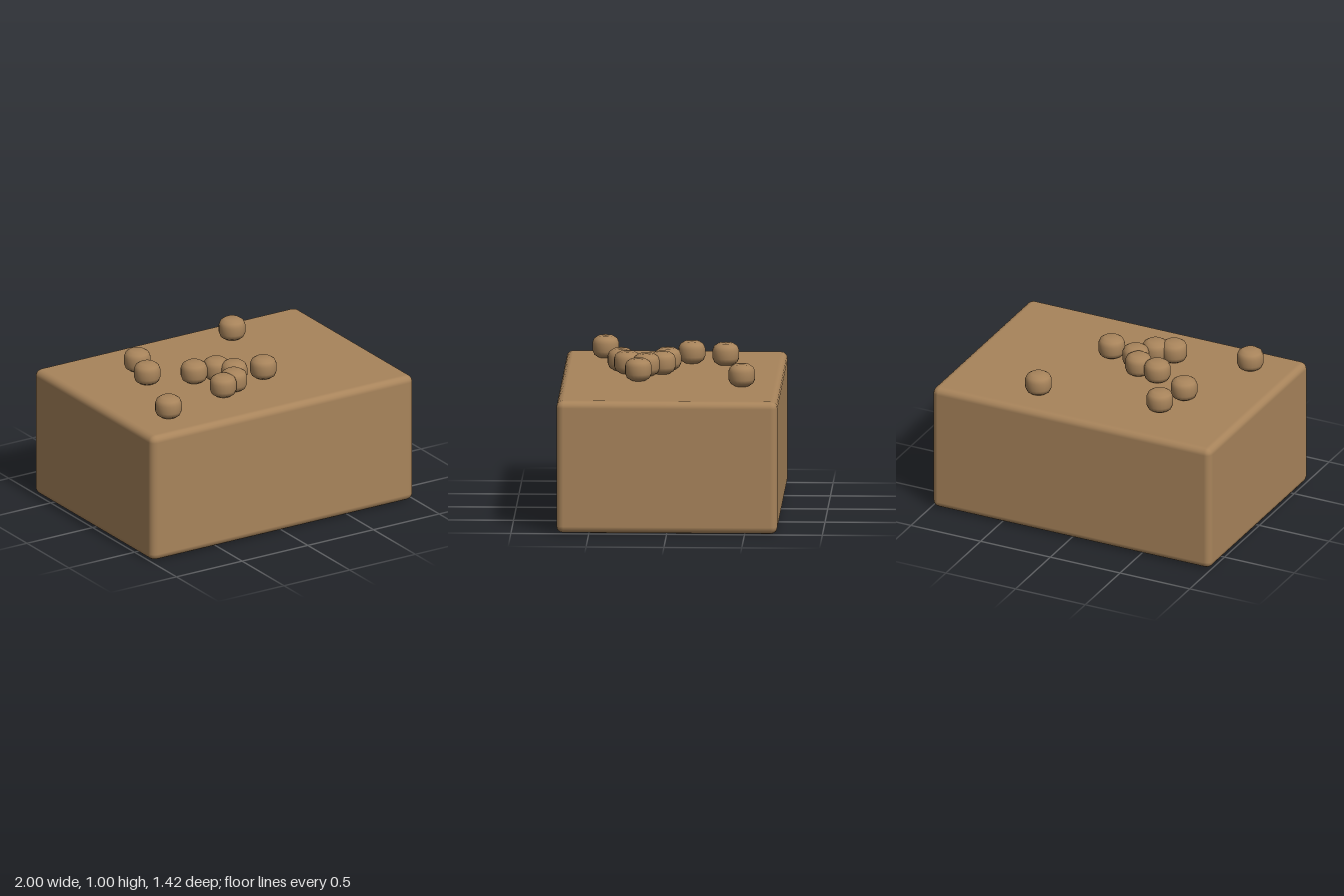
import * as THREE from 'three';
import { RoundedBoxGeometry } from 'three/addons/geometries/RoundedBoxGeometry.js';

const BODY = { width: 2, height: 0.86, depth: 1.42, bevel: 0.045 };
const KNOB = { radius: 0.086, height: 0.14 };

// x, z centres of the knobs scattered on the top
const KNOB_SPOTS = [
  [0.355, -0.46], [-0.45, -0.33], [-0.515, -0.11], [-0.25, 0.035], [-0.1, 0.065],
  [-0.03, 0.165], [0.165, 0.21], [-0.11, 0.29], [-0.22, 0.335], [-0.71, 0.45],
];

// Short drum with softly rounded rims, standing on y = 0
function knobGeometry() {
  const { radius: r, height: h } = KNOB;
  const profile = [
    [0, 0], [r * 0.55, 0], [r * 0.87, 0.018], [r, 0.045],
    [r, h - 0.045], [r * 0.87, h - 0.018], [r * 0.55, h], [0, h],
  ].map(([x, y]) => new THREE.Vector2(x, y));
  return new THREE.LatheGeometry(profile, 20);
}

export function createModel() {
  const model = new THREE.Group();
  model.name = 'blockWithKnobs';
  const brown = new THREE.MeshStandardMaterial({ color: 0xa8845b });
  brown.name = 'brown';

  // Block with narrow rounded edges
  const body = new THREE.Mesh(
    new RoundedBoxGeometry(BODY.width, BODY.height, BODY.depth, 2, BODY.bevel), brown);
  body.name = 'body';
  body.position.y = BODY.height / 2;
  model.add(body);

  // Knobs on the top face
  const knobs = new THREE.Group();
  knobs.name = 'knobs';
  const geometry = knobGeometry();
  KNOB_SPOTS.forEach(([x, z], i) => {
    const knob = new THREE.Mesh(geometry, brown);
    knob.name = `knob${i + 1}`;
    knob.position.set(x, BODY.height, z);
    knobs.add(knob);
  });
  model.add(knobs);
  return model;
}
